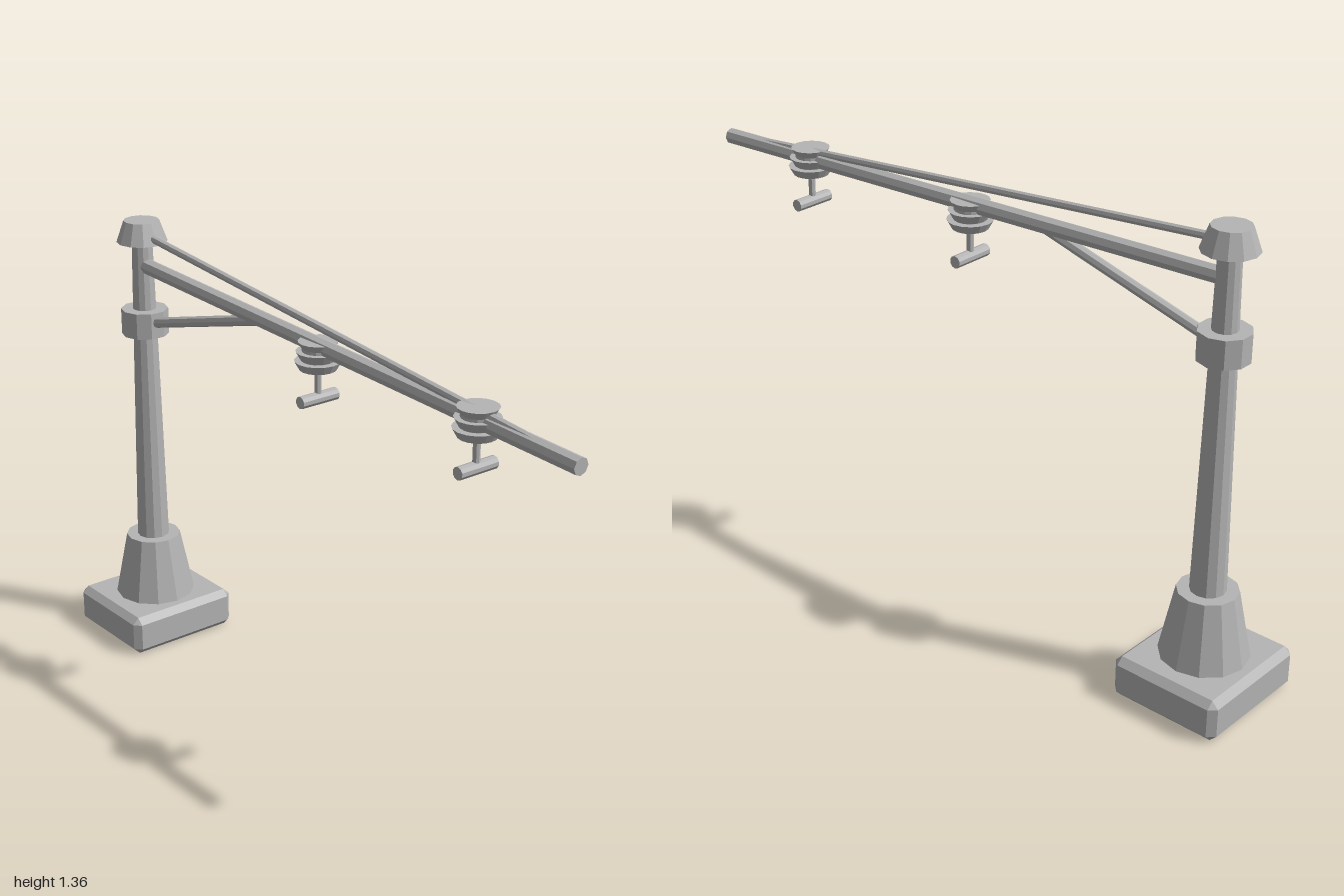
import * as THREE from 'three';
import { ConvexGeometry } from 'three/addons/geometries/ConvexGeometry.js';

const metal = new THREE.MeshStandardMaterial({ color: 0xb4b4b4, flatShading: true });
metal.name = 'grey metal';

const POST_X = -0.832;

function add(parent, name, geometry, x = 0, y = 0, z = 0) {
  const mesh = new THREE.Mesh(geometry, metal);
  mesh.name = name;
  mesh.position.set(x, y, z);
  parent.add(mesh);
  return mesh;
}

// Upright tapered cylinder between two heights
function drum(parent, name, x, y0, y1, r0, r1, sides = 12) {
  return add(parent, name, new THREE.CylinderGeometry(r1, r0, y1 - y0, sides), x, (y0 + y1) / 2);
}

// Straight bar between two points in the z = 0 plane
function bar(parent, name, x0, y0, x1, y1, radius, sides = 8) {
  const dx = x1 - x0, dy = y1 - y0;
  const geometry = new THREE.CylinderGeometry(radius, radius, Math.hypot(dx, dy), sides);
  const mesh = add(parent, name, geometry, (x0 + x1) / 2, (y0 + y1) / 2);
  mesh.rotation.z = Math.atan2(dy, dx) - Math.PI / 2;
  return mesh;
}

// Box with all edges and corners cut off
function chamferedBox(w, h, d, c) {
  const points = [];
  for (const sx of [-1, 1]) for (const sy of [-1, 1]) for (const sz of [-1, 1]) {
    for (let axis = 0; axis < 3; axis++) {
      const cut = [0, 1, 2].map((i) => (i === axis ? 0 : c));
      points.push(new THREE.Vector3(sx * (w / 2 - cut[0]), sy * (h / 2 - cut[1]), sz * (d / 2 - cut[2])));
    }
  }
  return new ConvexGeometry(points);
}

// Stacked sheds with a hanging rod and a crossbar clamp
function insulator(x) {
  const group = new THREE.Group();
  group.name = 'insulator';
  drum(group, 'insulatorCore', x, 1.12, 1.2, 0.045, 0.045, 16);
  [[1.2, 0.056], [1.172, 0.062], [1.145, 0.066]].forEach(([top, r]) => {
    drum(group, 'insulatorShed', x, top - 0.025, top, r - 0.014, r, 16);
  });
  drum(group, 'hangerRod', x, 1.03, 1.125, 0.01, 0.01, 8);
  const clamp = add(group, 'wireClamp', new THREE.CylinderGeometry(0.018, 0.018, 0.125, 10), x, 1.035);
  clamp.rotation.x = Math.PI / 2;
  return group;
}

export function createModel() {
  const model = new THREE.Group();
  model.name = 'cantileverPost';

  // Foundation and post
  add(model, 'foundation', chamferedBox(0.335, 0.125, 0.372, 0.02), POST_X, 0.0625);
  drum(model, 'plinth', POST_X, 0.125, 0.325, 0.125, 0.085);
  drum(model, 'post', POST_X, 0.32, 1.3, 0.05, 0.031);
  drum(model, 'collar', POST_X, 1.0, 1.08, 0.072, 0.072, 10);
  drum(model, 'cap', POST_X, 1.29, 1.355, 0.077, 0.054);

  // Arm with its stay and brace
  bar(model, 'boom', -0.82, 1.217, 1.0, 1.153, 0.024);
  bar(model, 'stay', -0.8, 1.312, 0.85, 1.17, 0.012);
  bar(model, 'brace', -0.8, 1.04, -0.25, 1.19, 0.016);

  for (const x of [0.017, 0.648]) model.add(insulator(x));
  return model;
}
